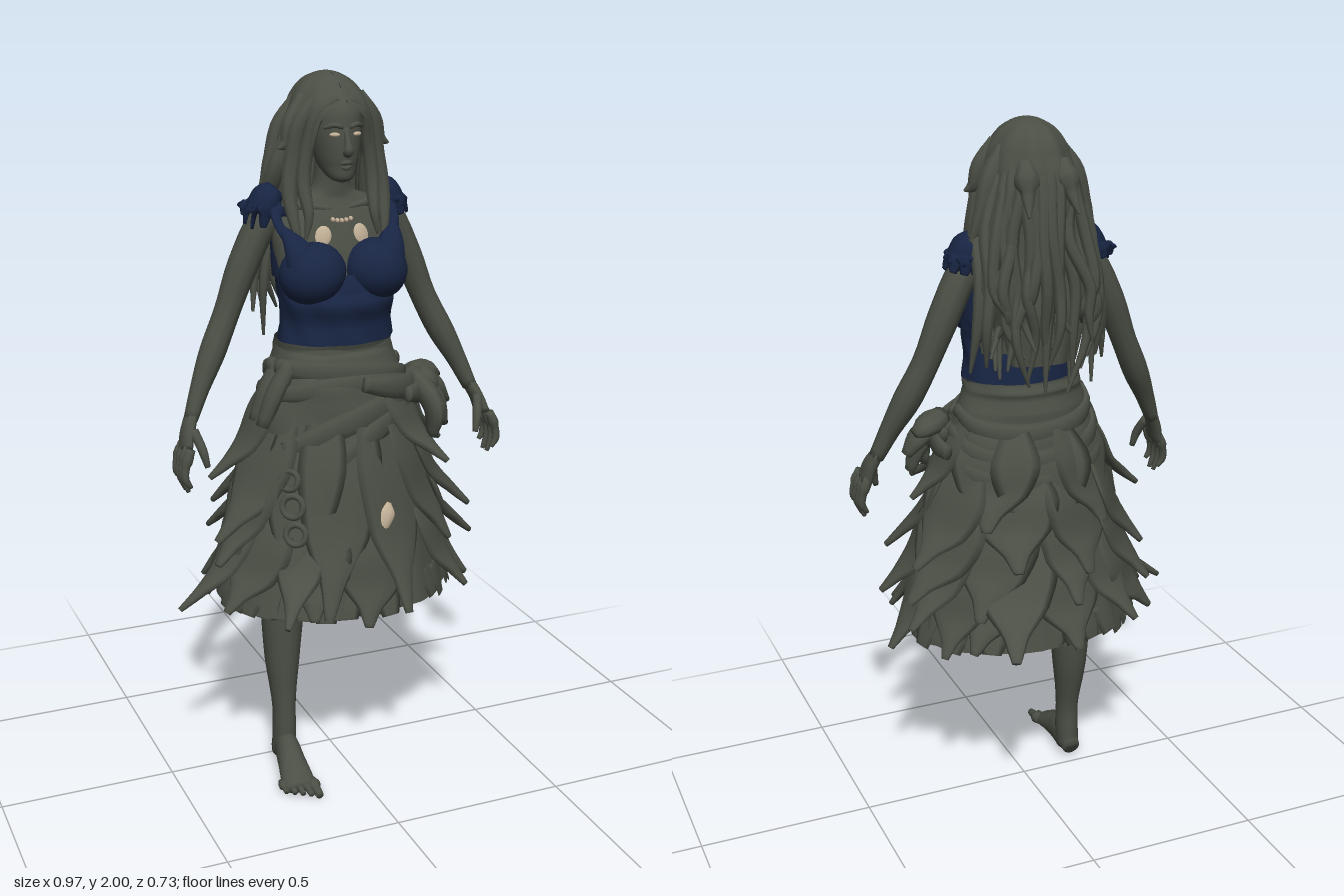
import * as THREE from 'three';

const flat = (color, name) => Object.assign(new THREE.MeshStandardMaterial({ color, side: THREE.DoubleSide }), { name });
const V = (x, y, z) => new THREE.Vector3(x, y, z);

export function createModel() {
  const root = new THREE.Group();
  const grey = flat(0x4b4f45, 'weatheredGrey');
  const navy = flat(0x182543, 'navyCloth');
  const bone = flat(0xc2b097, 'paleBone');

  let seed = 7;
  const rnd = (a, b) => {
    seed = (seed * 16807) % 2147483647;
    return a + (b - a) * (seed / 2147483647);
  };

  const add = (name, geo, mat, parent = root) => {
    const m = new THREE.Mesh(geo, mat);
    m.name = name;
    parent.add(m);
    return m;
  };
  const group = (name) => {
    const g = new THREE.Group();
    g.name = name;
    root.add(g);
    return g;
  };

  // Skin a list of rows of points
  function skin(rows, closed) {
    const n = rows[0].length, idx = [], pos = [];
    rows.forEach((r) => r.forEach((p) => pos.push(p.x, p.y, p.z)));
    for (let i = 0; i < rows.length - 1; i++)
      for (let j = 0; j < (closed ? n : n - 1); j++) {
        const k = (j + 1) % n, a = i * n + j, b = i * n + k, c = a + n, d = b + n;
        idx.push(a, b, c, b, d, c);
      }
    const g = new THREE.BufferGeometry();
    g.setAttribute('position', new THREE.Float32BufferAttribute(pos, 3));
    g.setIndex(idx);
    g.computeVertexNormals();
    return g;
  }

  // Tapered sweep through stations [x, y, z, width, depth]; side sets the width direction
  function sweep(name, st, mat = grey, parent = root, side = V(1, 0, 0), n = 10) {
    const path = new THREE.CatmullRomCurve3(st.map((s) => V(s[0], s[1], s[2])));
    const size = new THREE.CatmullRomCurve3(st.map((s) => V(s[3], s[4] ?? s[3], 0)));
    const rows = [], m = (st.length - 1) * 4;
    for (let i = -1; i <= m + 1; i++) {
      const t = Math.min(Math.max(i / m, 0), 1), k = i < 0 || i > m ? 0 : 1;
      const p = path.getPoint(t), s = size.getPoint(t), T = path.getTangent(t);
      const N = T.clone().cross(side).normalize(), S = N.clone().cross(T);
      rows.push(Array.from({ length: n }, (_, j) => {
        const a = (j / n) * Math.PI * 2;
        return p.clone().addScaledVector(S, k * Math.max(s.x, 0.001) * Math.cos(a))
          .addScaledVector(N, k * Math.max(s.y, 0.001) * Math.sin(a));
      }));
    }
    return add(name, skin(rows, true), mat, parent);
  }

  // Stacked oval rings [y, rx, rz, cz, frontGapAngle]
  function loft(name, rings, mat = grey, parent = root, bump = () => 1, n = 48) {
    const a = new THREE.CatmullRomCurve3(rings.map((r) => V(r[0], r[1], r[2])));
    const b = new THREE.CatmullRomCurve3(rings.map((r) => V(r[3], r[4] ?? 0, 0)));
    const open = rings.some((r) => r[4]), m = (rings.length - 1) * 5, rows = [];
    for (let i = 0; i <= m; i++) {
      const p = a.getPoint(i / m), q = b.getPoint(i / m), gap = Math.max(q.y, 0);
      rows.push(Array.from({ length: open ? n + 1 : n }, (_, j) => {
        const w = gap + (j / n) * (Math.PI * 2 - 2 * gap), k = bump(w, p.x);
        return V(Math.sin(w) * p.y * k, p.x, (Math.cos(w) * p.z + q.x) * k);
      }));
    }
    return add(name, skin(rows, !open), mat, parent);
  }

  const ball = (name, x, y, z, sx, sy, sz, mat = grey, parent = root) => {
    const m = add(name, new THREE.SphereGeometry(1, 20, 14), mat, parent);
    m.position.set(x, y, z);
    m.scale.set(sx, sy, sz);
    return m;
  };

  // Torso, neck and head
  loft('torso', [[1.22, 0.155, 0.1, 0.02], [1.38, 0.145, 0.1, 0.02], [1.5, 0.165, 0.1, 0.015], [1.6, 0.165, 0.08, 0.005],
    [1.66, 0.12, 0.06, 0], [1.69, 0.06, 0.048, 0.01], [1.78, 0.046, 0.045, 0.02]]);
  loft('head', [[1.715, 0.004, 0.006, 0.085], [1.725, 0.03, 0.033, 0.08], [1.76, 0.052, 0.068, 0.05], [1.81, 0.064, 0.082, 0.04],
    [1.86, 0.072, 0.088, 0.03], [1.91, 0.072, 0.088, 0.02], [1.96, 0.04, 0.05, 0.01]]);
  sweep('nose', [[0, 1.86, 0.112, 0.008], [0, 1.82, 0.128, 0.01], [0, 1.802, 0.132, 0.014, 0.012], [0, 1.795, 0.12, 0.012]]);
  sweep('upperLip', [[-0.022, 1.768, 0.108, 0.004], [0, 1.772, 0.12, 0.007], [0.022, 1.768, 0.108, 0.004]], grey, root, V(0, 1, 0));
  sweep('lowerLip', [[-0.018, 1.762, 0.108, 0.004], [0, 1.757, 0.117, 0.007], [0.018, 1.762, 0.108, 0.004]], grey, root, V(0, 1, 0));
  for (const s of [-1, 1]) {
    sweep('brow', [[s * 0.01, 1.864, 0.117, 0.006], [s * 0.03, 1.87, 0.112, 0.007], [s * 0.055, 1.862, 0.092, 0.005]], grey, root, V(0, 1, 0));
    ball('eye', s * 0.032, 1.845, 0.112, 0.014, 0.006, 0.007, bone).rotation.y = s * 0.4;
    sweep('collarbone', [[s * 0.02, 1.64, 0.06, 0.008], [s * 0.07, 1.648, 0.05, 0.01], [s * 0.14, 1.65, 0.01, 0.01]], grey, root, V(0, 1, 0));
    const plate = ball('chestBone', s * 0.056, 1.572, 0.086, 0.024, 0.03, 0.009, bone);
    plate.rotation.set(-0.25, s * 0.25, s * 0.3);
  }
  for (let i = -2; i <= 2; i++) ball('necklaceBone', i * 0.013, 1.612 + i * i * 0.001, 0.085, 0.0055, 0.007, 0.009, bone);

  // Hair cap with a face opening, continuing into a sheet down the back
  const hair = group('hair');
  loft('hairCap', [[1.36, 0.1, 0.05, -0.12, 1.9], [1.5, 0.135, 0.07, -0.11, 1.8], [1.62, 0.145, 0.09, -0.075, 1.6], [1.7, 0.135, 0.115, -0.05, 1.1],
    [1.8, 0.126, 0.14, -0.03, 0.72], [1.88, 0.114, 0.142, -0.022, 0.6], [1.928, 0.1, 0.125, -0.02, 0.06], [1.97, 0.07, 0.09, -0.025, 0.01],
    [1.993, 0.032, 0.042, -0.025, 0.01], [2, 0.002, 0.002, -0.025, 0.01]], grey, hair, (a) => 1 + 0.02 * Math.cos(a * 9), 96);
  for (let layer = 0; layer < 2; layer++)
    for (let i = 0; i < 14; i++) {
      const a = 1.65 + (i / 13) * 2.98 + rnd(-0.1, 0.1), x = Math.sin(a), z = Math.cos(a), o = layer * 0.025;
      const end = rnd(1.27, 1.4) + layer * 0.06, j = () => rnd(-0.025, 0.025);
      sweep('backLock', [[x * 0.08, 1.93, z * 0.1 - 0.02, 0.012], [x * 0.118, 1.83, z * 0.137 - 0.025, 0.019],
        [x * 0.135 + j(), 1.7, z * (0.115 + o) - 0.05, 0.018], [x * 0.15 + j(), 1.57, z * (0.1 + o) - 0.08 + j() * 0.6, 0.017],
        [x * 0.145 + j(), (1.57 + end) / 2, z * (0.09 + o) - 0.085 + j(), 0.013], [x * 0.14 + j() * 1.6, end, z * 0.09 - 0.105 + j(), 0.004]], grey, hair, V(1, 0, 0), 7);
    }
  for (const s of [-1, 1]) {
    const locks = [
      [[0.012, 1.935, 0.09, 0.012], [0.062, 1.9, 0.078, 0.017], [0.088, 1.81, 0.06, 0.018], [0.1, 1.71, 0.06, 0.019], [0.095, 1.63, 0.085, 0.013], [0.105, 1.57, 0.09, 0.004]],
      [[0.035, 1.95, 0.05, 0.014], [0.1, 1.88, 0.045, 0.022], [0.12, 1.78, 0.035, 0.024], [0.135, 1.69, 0.045, 0.021], [0.13, 1.6, 0.075, 0.013], [0.12, 1.55, 0.09, 0.004]],
      [[0.08, 1.94, 0.01, 0.014], [0.118, 1.87, 0.02, 0.024], [0.135, 1.82, 0.025, 0.018], [0.16, 1.805, 0.03, 0.003]],
      [[0.08, 1.93, -0.05, 0.014], [0.122, 1.85, -0.06, 0.026], [0.148, 1.75, -0.06, 0.024], [0.18, 1.68, -0.06, 0.004]],
      [[0.1, 1.86, -0.02, 0.018], [0.145, 1.74, -0.03, 0.026], [0.165, 1.6, -0.1, 0.02], [0.18, 1.47, -0.11, 0.015], [0.195, 1.34, -0.09, 0.004]],
      [[0.1, 1.86, -0.07, 0.018], [0.14, 1.72, -0.09, 0.024], [0.15, 1.58, -0.13, 0.018], [0.165, 1.47, -0.14, 0.014], [0.16, 1.36, -0.12, 0.004]],
      [[0.05, 1.9, -0.13, 0.02], [0.06, 1.83, -0.165, 0.02], [0.07, 1.77, -0.2, 0.004]],
    ];
    locks.forEach((l) => sweep('sideLock', l.map(([x, y, z, r]) => [s * x, y, z, r * 1.1, r]), grey, hair, V(1, 0, 0), 8));
  }

  // Bodice with cups, back panel, straps and short sleeves
  const top = group('bodice');
  loft('bodiceBand', [[1.285, 0.166, 0.125, 0.038], [1.34, 0.158, 0.122, 0.038], [1.42, 0.166, 0.125, 0.038], [1.475, 0.172, 0.115, 0.028]],
    navy, top, (a, y) => 1 + 0.012 * Math.sin(a * 9 + y * 40));
  loft('bodiceBack', [[1.46, 0.172, 0.108, 0.015, 1.2], [1.52, 0.174, 0.106, 0.012, 1.4], [1.57, 0.174, 0.095, 0.005, 1.7]], navy, top);
  for (const s of [-1, 1]) {
    const cup = ball('cup', s * 0.091, 1.477, 0.099, 0.093, 0.084, 0.088, navy, top);
    cup.rotation.set(0.1, 0, -s * 0.35);
    sweep('cupPeak', [[s * 0.118, 1.495, 0.125, 0.055, 0.04], [s * 0.138, 1.55, 0.105, 0.038, 0.026], [s * 0.16, 1.595, 0.068, 0.012, 0.01]], navy, top);
    sweep('strapFront', [[s * 0.15, 1.57, 0.085, 0.02, 0.008], [s * 0.17, 1.61, 0.05, 0.014, 0.008], [s * 0.165, 1.66, 0.01, 0.02, 0.008]], navy, top);
    sweep('strapBack', [[s * 0.14, 1.53, -0.075, 0.025, 0.008], [s * 0.15, 1.6, -0.07, 0.022, 0.008], [s * 0.16, 1.67, -0.03, 0.025, 0.008]], navy, top);
    sweep('sleeve', [[s * 0.15, 1.69, -0.025, 0.028, 0.042], [s * 0.174, 1.667, -0.025, 0.042, 0.054], [s * 0.19, 1.63, -0.025, 0.045, 0.055]], navy, top);
    for (let i = 0; i < 9; i++) {
      const a = (i / 9) * Math.PI * 2, x = s * (0.19 + 0.042 * Math.cos(a)), z = -0.025 + 0.052 * Math.sin(a);
      sweep('sleeveTatter', [[x - s * 0.01, 1.655, z, 0.02, 0.005], [x, 1.63, z, 0.02, 0.005], [x + s * 0.006, rnd(1.59, 1.618), z, 0.01, 0.004]], navy, top, V(Math.sin(a), 0, -Math.cos(a)), 6);
    }
  }

  // Arms, hands and fingers
  for (const s of [-1, 1]) {
    const arm = group(s > 0 ? 'leftArm' : 'rightArm');
    const part = (name, st, side) => sweep(name, st.map(([x, ...r]) => [s * x, ...r]), grey, arm, side);
    part('armLimb', [[0.13, 1.645, -0.02, 0.03], [0.183, 1.605, -0.025, 0.043, 0.05], [0.243, 1.49, -0.028, 0.043, 0.048], [0.297, 1.36, -0.02, 0.037, 0.04],
      [0.34, 1.27, -0.005, 0.038, 0.042], [0.39, 1.17, 0.02, 0.028, 0.03], [0.425, 1.09, 0.04, 0.02, 0.026]]);
    part('palm', [[0.42, 1.105, 0.035, 0.024, 0.018], [0.44, 1.06, 0.055, 0.036, 0.018], [0.452, 1.015, 0.07, 0.044, 0.015]], V(0, 0, 1));
    for (let i = 0; i < 4; i++) {
      const z = 0.04 + i * 0.026;
      part('finger', [[0.45, 1.03, z, 0.012], [0.467, 0.985, z + 0.003, 0.012], [0.47, 0.95, z + 0.006, 0.011], [0.455, i % 3 ? 0.905 : 0.925, z + 0.008, 0.006]]);
    }
    part('thumb', [[0.43, 1.07, 0.08, 0.014], [0.415, 1.02, 0.11, 0.013], [0.405, 0.975, 0.12, 0.008]]);
  }

  // Right leg and foot
  const leg = group('rightLeg');
  sweep('legLimb', [[-0.14, 0.85, 0.03, 0.085, 0.09], [-0.155, 0.6, 0.03, 0.07, 0.075], [-0.163, 0.47, 0.035, 0.062, 0.064], [-0.168, 0.33, 0.042, 0.05, 0.058],
    [-0.17, 0.17, 0.06, 0.033, 0.04], [-0.17, 0.09, 0.06, 0.034, 0.042], [-0.172, 0.03, 0.055, 0.033, 0.04]], grey, leg, V(1, 0, 0), 16);
  sweep('foot', [[-0.17, 0.036, 0.022, 0.026, 0.028], [-0.172, 0.056, 0.08, 0.034, 0.054], [-0.182, 0.045, 0.15, 0.04, 0.042],
    [-0.19, 0.026, 0.22, 0.048, 0.025], [-0.192, 0.018, 0.255, 0.046, 0.017]], grey, leg, V(1, 0, 0), 16);
  for (let i = 0; i < 5; i++) {
    const x = -0.155 - i * 0.02, r = i ? 0.01 : 0.014;
    sweep('toe', [[x, 0.022, 0.23 - i * 0.006, r], [x, 0.018, 0.27 - i * 0.009, r], [x, 0.013, 0.305 - i * 0.013, r * 0.8]], grey, leg);
  }

  // Bare bone stump under the left side of the skirt
  const stump = group('boneStump');
  [0.5, 0.46, 0.42, 0.43, 0.44].forEach((end, i) => {
    const x = 0.115 + 0.011 * i, z = 0.085 + 0.025 * Math.sin(i * 2.2);
    sweep('boneShard', [[x - 0.015, 0.85, z, 0.018], [x, 0.6, z, 0.012], [x + 0.002, (0.6 + end) / 2, z, 0.012], [x + 0.004, end, z + 0.005, 0.006]], bone, stump, V(1, 0, 0), 7);
  });

  // Skirt cone with layered pointed leaves
  const skirt = group('skirt');
  const S = (a, y, o = 0) => {
    const t = (1.28 - y) / 0.74;
    return V(Math.sin(a) * (0.165 + 0.175 * t + o), y, Math.cos(a) * (0.115 + 0.145 * t + o) + 0.022 + 0.008 * t);
  };
  const cone = [0.54, 0.72, 0.9, 1.08, 1.2, 1.28].map((y) => [y, S(Math.PI / 2, y).x, S(0, y).z - S(Math.PI / 2, y).z, S(Math.PI / 2, y).z]);
  loft('skirtCone', cone, grey, skirt, (a, y) => 1 + (1.28 - y) * 0.035 * Math.sin(a * 11 + Math.sin(a * 3) * 2), 110);
  loft('underskirt', cone.slice(0, 3).map(([y, rx, rz, cz]) => [y + 0.01, rx * 0.9, rz * 0.88, cz]), grey, skirt, (a) => 1 + 0.03 * Math.sin(a * 17), 90);
  function leaf(a, y0, y1, w, out, twist = 0) {
    const h = y0 - y1;
    const st = [[0, -0.012, 0.6, 0.01], [0.35, 0.01, 1, 0.015], [0.65, out * 0.28, 0.78, 0.015], [0.85, out * 0.66, 0.3, 0.014], [1, out, 0.11, 0.008]]
      .map(([t, o, k, d]) => [...S(a + twist * t, y0 - h * t, o).toArray(), w * k, d]);
    sweep('skirtLeaf', st, grey, skirt, V(Math.cos(a), 0, -Math.sin(a)), 10);
  }
  [[8, 1.16, 0.92, 0.09, 0.1], [8, 1.08, 0.77, 0.12, 0.1], [9, 0.97, 0.67, 0.125, 0.09], [10, 0.84, 0.555, 0.115, 0.075]].forEach(([n, y0, y1, w, out], tier) => {
    for (let i = 0; i < n; i++) {
      const a = ((i + tier * 0.45) / n) * Math.PI * 2 + rnd(-0.12, 0.12), c = Math.cos(a);
      if ((c > 0.7 && tier < 3) || (c < -0.5 && tier === 0)) continue;
      const lift = c > 0.7 ? 0.5 : c < -0.6 ? 0.75 : 1;
      leaf(a, y0 + rnd(-0.03, 0.03), y1 + rnd(-0.03, 0.03), w * rnd(0.85, 1.1), out * rnd(0.8, 1.2) * lift, rnd(-0.2, 0.2));
    }
  });
  // Large hem points
  [[-1.35, 0.85, 0.55, 0.07, 0.15, -0.1], [2.78, 0.88, 0.59, 0.12, 0.165, 0], [-0.6, 0.85, 0.57, 0.08, 0.14, 0], [2.0, 0.9, 0.62, 0.1, 0.11, 0],
    [-2.55, 0.88, 0.6, 0.1, 0.1, 0], [0.9, 0.85, 0.56, 0.1, 0.08, 0]].forEach((l) => leaf(...l));
  // Broad front and back panels
  [[-0.15, 1.16, 0.56, 0.12, 0.06, -0.2], [-0.55, 1.14, 0.62, 0.11, 0.04, -0.15], [0.42, 1.13, 0.56, 0.12, 0.08, -0.2], [0.8, 1.1, 0.7, 0.12, 0.06, 0.1],
    [3.1, 1.18, 0.84, 0.15, 0.03, 0], [2.5, 1.18, 0.9, 0.13, 0.05, 0], [-2.55, 1.18, 0.88, 0.13, 0.05, 0]].forEach((l) => leaf(...l));
  for (let i = 0; i < 34; i++) {
    const a = (i / 34) * Math.PI * 2, p = S(a, 0.62, -0.006), q = S(a, rnd(0.52, 0.545), rnd(-0.006, 0.008));
    sweep('hemTatter', [[...p.toArray(), 0.042, 0.005], [...p.clone().lerp(q, 0.6).toArray(), 0.04, 0.005], [...q.toArray(), 0.028, 0.003]], grey, skirt, V(Math.cos(a), 0, -Math.sin(a)), 6);
  }
  sweep('exposedBone', [[0.035, 0.76, 0.268, 0.006], [0.045, 0.79, 0.268, 0.022, 0.012], [0.058, 0.825, 0.26, 0.03, 0.014], [0.07, 0.85, 0.248, 0.012, 0.01]], bone, skirt);
  [[-0.76, 0.93, 0.026], [-0.7, 0.86, 0.03], [-0.65, 0.785, 0.028]].forEach(([a, y, r]) => {
    const curl = add('curlTrim', new THREE.TorusGeometry(r, 0.009, 8, 20), grey, skirt);
    curl.position.copy(S(a, y, 0.036));
    curl.rotation.set(-0.2, a, 0, 'YXZ');
  });

  // Draped hip wrap, sash folds and side knot
  const wrap = group('hipWrap');
  loft('wrapCloth', [[1.04, 0.232, 0.176, 0.025], [1.13, 0.215, 0.165, 0.025], [1.2, 0.19, 0.145, 0.025], [1.25, 0.172, 0.128, 0.022], [1.285, 0.17, 0.124, 0.022]],
    grey, wrap, (a, y) => 1 + 0.015 * Math.sin(a * 5 + y * 30), 72);
  const fold = (a0, y0, a1, y1, sag, w, out) => {
    const st = Array.from({ length: 7 }, (_, i) => {
      const t = i / 6, e = Math.sin(t * Math.PI);
      return [...S(a0 + (a1 - a0) * t, y0 + (y1 - y0) * t - sag * e, out).toArray(), w * (0.6 + 0.4 * e), 0.014];
    });
    sweep('sashFold', st, grey, wrap, V(0, 1, 0), 10);
  };
  [[-1.3, 1.22, 1.2, 1.17, -0.01, 0.036, 0.01], [-1.2, 1.14, 1.25, 1.14, -0.03, 0.036, 0.012], [-0.9, 1.0, 1.3, 1.12, -0.03, 0.04, 0.014],
    [-0.6, 0.9, 1.3, 1.1, -0.05, 0.036, 0.012], [0.1, 1.18, 1.6, 1.13, 0.01, 0.036, 0.035], [0.7, 1.13, 1.9, 1.1, 0, 0.036, 0.05],
    [1.5, 1.2, 4.8, 1.22, 0.06, 0.034, 0.006], [1.5, 1.14, 4.75, 1.16, 0.08, 0.04, 0.01], [1.6, 1.08, 4.7, 1.1, 0.08, 0.04, 0.012]]
    .forEach((f) => fold(...f));
  ball('knot', 0.235, 1.13, 0.085, 0.06, 0.055, 0.06, grey, wrap);
  for (const [x, y, z] of [[0.315, 1.14, 0.04], [0.33, 1.07, 0.07], [0.31, 1.01, 0.1], [0.24, 1.0, 0.17]])
    sweep('knotTail', [[0.22, 1.16, 0.08, 0.035], [(0.25 + x) / 2, (1.17 + y) / 2, z, 0.045, 0.028], [x, y, z, 0.024, 0.012]], grey, wrap, V(0, 0, 1));
  for (const z of [0.09, 0.03]) sweep('rightHipFold', [[-0.15, 1.23, z, 0.025], [-0.2, 1.15, z, 0.035, 0.025], [-0.235, 1.06, z, 0.02]], grey, wrap, V(0, 0, 1));

  return root;
}
